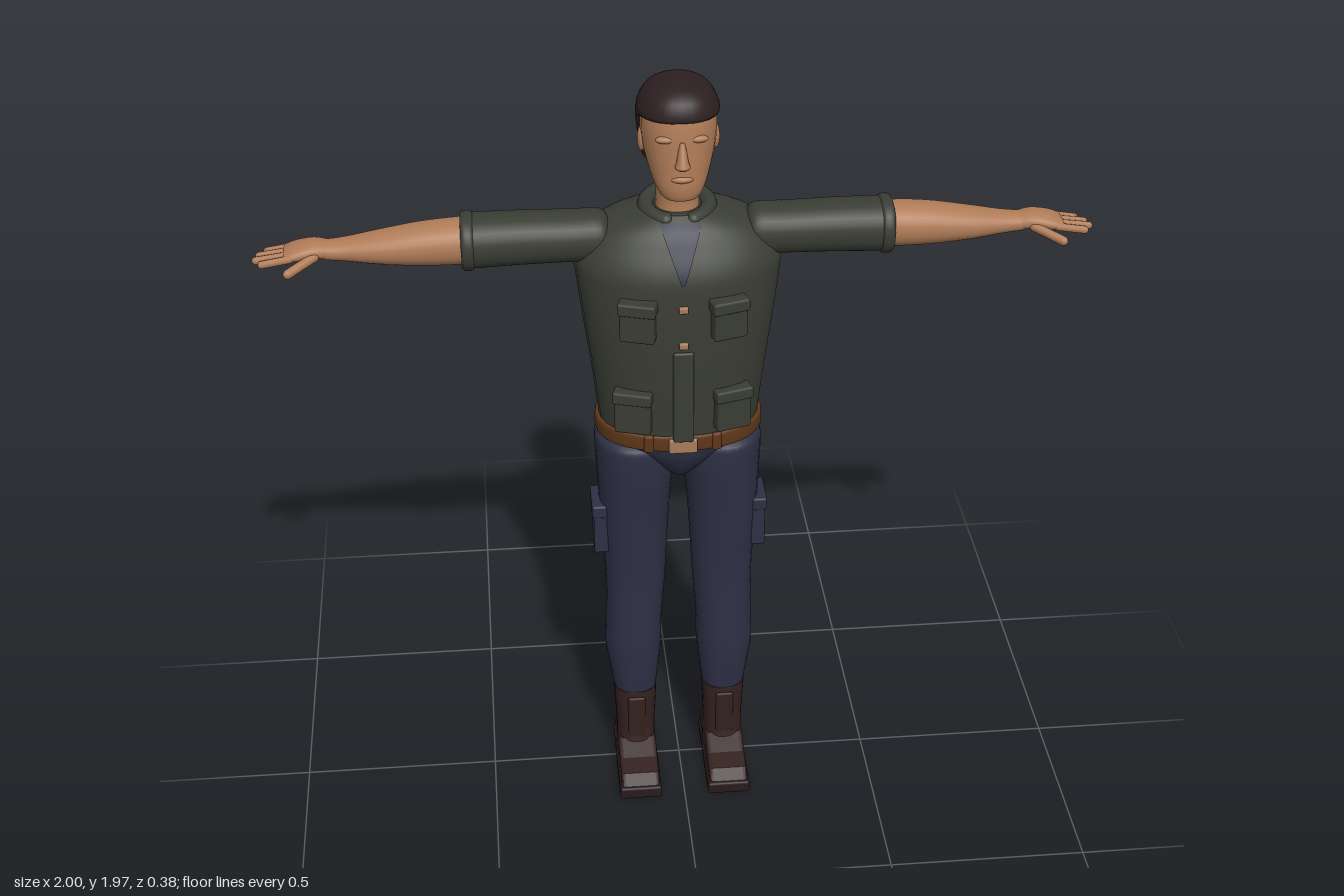
import * as THREE from 'three';
import { RoundedBoxGeometry } from 'three/addons/geometries/RoundedBoxGeometry.js';

const mat = (name, color, side = THREE.FrontSide) => {
  const m = new THREE.MeshStandardMaterial({ color, side });
  m.name = name;
  return m;
};

// Smoothly interpolates sections [position, centre, half width, back z, front z].
function smoothRows(sections, steps) {
  const rows = [], n = sections.length - 1;
  for (let i = 0; i < n; i++) {
    const [a, b, c, d] = [i - 1, i, i + 1, i + 2].map(k => sections[Math.min(n, Math.max(0, k))]);
    for (let j = 0; j < steps + (i === n - 1 ? 1 : 0); j++) {
      const t = j / steps;
      rows.push(b.map((v, k) => 0.5 * (2 * v + (c[k] - a[k]) * t +
        (2 * a[k] - 5 * v + 4 * c[k] - d[k]) * t * t + (3 * v - a[k] - 3 * c[k] + d[k]) * t * t * t)));
    }
  }
  return rows;
}

// Skins super-elliptical sections, upright or along x, with flat capped ends.
function loft(sections, { power = 2.2, alongX = false, steps = 4, seg = 28 } = {}) {
  const rows = smoothRows(sections, steps), pos = [], idx = [];
  const ascending = rows[rows.length - 1][0] > rows[0][0];
  const flip = ascending === alongX;
  const tri = (a, b, c) => (flip ? idx.push(a, c, b) : idx.push(a, b, c));
  const put = (p, x, z) => (alongX ? pos.push(p, x, z) : pos.push(x, p, z));
  const ring = ([p, cx, r, zb, zf]) => {
    const start = pos.length / 3;
    for (let j = 0; j < seg; j++) {
      const a = j / seg * Math.PI * 2, s = Math.sin(a), c = Math.cos(a);
      const e = v => Math.sign(v) * Math.pow(Math.abs(v), 2 / power);
      put(p, cx + r * e(s), (zb + zf) / 2 + (zf - zb) / 2 * e(c));
    }
    return start;
  };
  const starts = rows.map(ring);
  for (let i = 0; i + 1 < starts.length; i++) for (let j = 0; j < seg; j++) {
    const k = (j + 1) % seg, a = starts[i], b = starts[i + 1];
    tri(a + j, a + k, b + k);
    tri(a + j, b + k, b + j);
  }
  [rows[0], rows[rows.length - 1]].forEach((row, end) => {
    const s = ring(row), c = pos.length / 3;
    put(row[0], row[1], (row[3] + row[4]) / 2);
    for (let j = 0; j < seg; j++) {
      const k = (j + 1) % seg;
      end ? tri(c, s + j, s + k) : tri(c, s + k, s + j);
    }
  });
  const g = new THREE.BufferGeometry();
  g.setAttribute('position', new THREE.Float32BufferAttribute(pos, 3));
  g.setIndex(idx);
  g.computeVertexNormals();
  return g;
}

// Reflects a geometry across x = 0, keeping faces outward.
function mirrored(geometry) {
  const g = geometry.clone();
  for (const key of ['position', 'normal']) {
    const a = g.attributes[key];
    for (let i = 0; i < a.count; i++) a.setX(i, -a.getX(i));
  }
  const n = g.attributes.position.count;
  const old = g.index ? Array.from(g.index.array) : Array.from({ length: n }, (_, i) => i);
  for (let i = 0; i < old.length; i += 3) [old[i + 1], old[i + 2]] = [old[i + 2], old[i + 1]];
  g.setIndex(old);
  return g;
}

const box = (w, h, d, x, y, z, turn = 0, r = 0.006) =>
  new RoundedBoxGeometry(w, h, d, 2, r).rotateY(turn).translate(x, y, z);
const ball = (rx, ry, rz, x, y, z) =>
  new THREE.SphereGeometry(1, 20, 14).scale(rx, ry, rz).translate(x, y, z);

// Capsule running between two points.
function limb(a, b, r) {
  const p = new THREE.Vector3(...a), q = new THREE.Vector3(...b), d = q.clone().sub(p);
  const turn = new THREE.Quaternion().setFromUnitVectors(new THREE.Vector3(0, 1, 0), d.clone().normalize());
  return new THREE.CapsuleGeometry(r, d.length() - 2 * r, 4, 10).applyQuaternion(turn)
    .translate(...p.add(q).multiplyScalar(0.5).toArray());
}

const TORSO = [[1.06, 0, 0.195, -0.165, 0.11], [1.2, 0, 0.21, -0.175, 0.12], [1.35, 0, 0.23, -0.186, 0.125],
  [1.47, 0, 0.245, -0.19, 0.12], [1.52, 0, 0.248, -0.19, 0.11], [1.57, 0, 0.225, -0.18, 0.085],
  [1.61, 0, 0.17, -0.155, 0.06], [1.638, 0, 0.085, -0.12, 0.03]];

// Depth of the chest surface at a point.
function chestZ(x, y) {
  const rows = smoothRows(TORSO, 8);
  const i = Math.max(1, rows.findIndex(r => r[0] >= y)), a = rows[i - 1], b = rows[i];
  const t = (y - a[0]) / (b[0] - a[0]), [, , w, zb, zf] = a.map((v, k) => v + (b[k] - v) * t);
  return (zb + zf) / 2 + (zf - zb) / 2 * Math.pow(1 - Math.pow(Math.abs(x) / w, 2.2), 1 / 2.2);
}

// Thin panel lying on the chest, with its own half width at the bottom and top.
function chestPanel(y0, y1, w0, w1, lift) {
  const g = new THREE.PlaneGeometry(2, 1, 8, 14), p = g.attributes.position;
  for (let i = 0; i < p.count; i++) {
    const t = p.getY(i) + 0.5, y = y0 + (y1 - y0) * t, x = p.getX(i) * (w0 + (w1 - w0) * t);
    p.setXYZ(i, x, y, chestZ(x, y) + lift);
  }
  g.computeVertexNormals();
  return g;
}

export function createModel() {
  const model = new THREE.Group();
  const vest = mat('olive cloth', 0x3a3d34), navy = mat('navy cloth', 0x2e2f44);
  const shirt = mat('navy undershirt', 0x2b2c40, THREE.DoubleSide), skin = mat('skin', 0xb07c58);
  const hair = mat('dark hair', 0x2d1f21), leather = mat('boot leather', 0x33211f);
  const sole = mat('boot sole', 0x281a1c), belt = mat('belt leather', 0x5e3719), brass = mat('brass', 0xa87c5c);

  const add = (name, geometry, material) => {
    const m = new THREE.Mesh(geometry, material);
    m.name = name;
    model.add(m);
  };
  const pair = (name, geometry, material) => {
    add('left ' + name, geometry, material);
    add('right ' + name, mirrored(geometry), material);
  };

  // Torso, shirt opening and front placket
  add('torso', loft(TORSO), vest);
  add('shirt opening', chestPanel(1.5, 1.628, 0.004, 0.05, 0.004), shirt);
  add('placket', box(0.05, 0.25, 0.016, 0, 1.2, 0.122), vest);
  for (const y of [1.345, 1.44]) add('button', box(0.022, 0.016, 0.012, 0, y, chestZ(0, y) + 0.004, 0, 0.003), brass);

  // Collar, open at the throat
  const gap = 0.45, fit = g => g.rotateX(Math.PI / 2 + 0.12).translate(0, 1.632, -0.045);
  add('collar', fit(new THREE.TorusGeometry(0.075, 0.02, 12, 32, Math.PI * 2 - 2 * gap).rotateZ(Math.PI / 2 + gap)), vest);
  pair('collar end', fit(ball(0.02, 0.02, 0.02, 0.075 * Math.sin(gap), 0.075 * Math.cos(gap), 0)), vest);

  // Vest pockets with flaps
  for (const [name, x, y, w, h] of [['chest pocket', 0.108, 1.41, 0.084, 0.1], ['lower pocket', 0.12, 1.155, 0.088, 0.11]]) {
    const z = chestZ(x, y) + 0.008, turn = 0.3;
    pair(name, box(w, h, 0.034, x, y, z, turn), vest);
    pair(name + ' flap', box(w + 0.008, 0.032, 0.044, x, y + h / 2 - 0.013, z, turn), vest);
  }

  // Belt, buckle and belt pieces
  add('belt', loft([[1.042, 0, 0.203, -0.17, 0.114], [1.048, 0, 0.207, -0.173, 0.118],
    [1.078, 0, 0.207, -0.173, 0.118], [1.084, 0, 0.203, -0.17, 0.114]]), belt);
  add('buckle', box(0.07, 0.04, 0.014, 0, 1.06, 0.118), brass);
  pair('belt keeper', box(0.024, 0.048, 0.014, 0.083, 1.062, 0.105, 0.25), belt);

  // Neck, head and face
  add('neck', loft([[1.6, 0, 0.055, -0.105, 0.015], [1.67, 0, 0.051, -0.1, 0.008], [1.77, 0, 0.055, -0.1, 0.03]]), skin);
  add('head', loft([[1.698, 0, 0.03, 0.02, 0.075], [1.705, 0, 0.045, 0.0, 0.086], [1.73, 0, 0.06, -0.04, 0.092],
    [1.765, 0, 0.073, -0.085, 0.091], [1.81, 0, 0.084, -0.11, 0.089], [1.86, 0, 0.089, -0.12, 0.086],
    [1.91, 0, 0.084, -0.115, 0.076], [1.945, 0, 0.055, -0.08, 0.05]]), skin);
  add('nose', loft([[1.783, 0, 0.011, 0.07, 0.098], [1.793, 0, 0.018, 0.07, 0.115], [1.805, 0, 0.014, 0.07, 0.113],
    [1.85, 0, 0.007, 0.06, 0.09]], { seg: 14 }), skin);
  add('lips', ball(0.026, 0.009, 0.012, 0, 1.758, 0.085), skin);
  pair('brow', ball(0.024, 0.009, 0.012, 0.037, 1.853, 0.074), skin);
  pair('ear', ball(0.01, 0.03, 0.018, 0.086, 1.82, -0.012), skin);

  // Hair cap, low at the back and high over the forehead
  add('hair', loft([[1.755, 0, 0.078, -0.125, -0.01], [1.765, 0, 0.083, -0.132, -0.008], [1.82, 0, 0.092, -0.136, -0.006],
    [1.865, 0, 0.096, -0.138, 0.012], [1.89, 0, 0.096, -0.138, 0.076], [1.905, 0, 0.094, -0.136, 0.085],
    [1.935, 0, 0.078, -0.118, 0.073], [1.955, 0, 0.05, -0.085, 0.045], [1.965, 0, 0.012, -0.035, 0.005]], { power: 2.3 }), hair);

  // Arms: sleeve, rolled cuff, forearm, palm, fingers and thumb
  const along = { alongX: true };
  pair('sleeve', loft([[0.165, 1.565, 0.045, -0.085, 0.015], [0.185, 1.567, 0.06, -0.1, 0.028],
    [0.25, 1.567, 0.06, -0.102, 0.03], [0.38, 1.567, 0.062, -0.104, 0.032], [0.5, 1.565, 0.064, -0.105, 0.035]], along), vest);
  pair('cuff', loft([[0.482, 1.565, 0.063, -0.104, 0.033], [0.488, 1.565, 0.068, -0.109, 0.039],
    [0.505, 1.565, 0.068, -0.109, 0.039], [0.512, 1.565, 0.062, -0.104, 0.033]], along), vest);
  pair('forearm', loft([[0.5, 1.565, 0.055, -0.097, 0.022], [0.6, 1.562, 0.05, -0.095, 0.021],
    [0.7, 1.558, 0.038, -0.087, 0.014], [0.78, 1.556, 0.026, -0.075, 0.001], [0.83, 1.556, 0.021, -0.07, -0.004]], along), skin);
  pair('palm', loft([[0.82, 1.557, 0.02, -0.068, -0.005], [0.855, 1.562, 0.021, -0.074, 0.004],
    [0.9, 1.558, 0.017, -0.076, 0.012], [0.925, 1.553, 0.011, -0.071, 0.009]], along), skin);
  [[0.975, -0.066], [0.993, -0.043], [1, -0.019], [0.985, 0.004]].forEach(([tip, z], i) =>
    pair('finger ' + (i + 1), limb([0.9, 1.556, z * 0.94], [tip, 1.542, z], 0.0095), skin));
  pair('thumb', limb([0.845, 1.556, -0.01], [0.922, 1.537, 0.056], 0.0115), skin);

  // Hips and trouser legs
  add('hips', loft([[0.925, 0, 0.03, -0.09, 0.04], [0.945, 0, 0.055, -0.12, 0.06], [0.99, 0, 0.12, -0.155, 0.085],
    [1.03, 0, 0.18, -0.163, 0.095], [1.06, 0, 0.193, -0.163, 0.1]]), navy);
  pair('trouser leg', loft([[0.24, 0.117, 0.055, -0.065, 0.05], [0.3, 0.118, 0.063, -0.076, 0.055],
    [0.38, 0.12, 0.073, -0.092, 0.06], [0.46, 0.118, 0.073, -0.094, 0.06], [0.6, 0.112, 0.077, -0.092, 0.058],
    [0.8, 0.112, 0.088, -0.12, 0.07], [0.93, 0.109, 0.097, -0.15, 0.08], [0.99, 0.111, 0.098, -0.165, 0.083],
    [1.02, 0.113, 0.092, -0.155, 0.078], [1.036, 0.115, 0.07, -0.12, 0.05]]), navy);
  pair('thigh pocket', box(0.036, 0.14, 0.1, 0.2, 0.762, -0.02), navy);
  pair('thigh pocket flap', box(0.046, 0.035, 0.106, 0.199, 0.817, -0.02), navy);

  // Boots: shaft, tongue, foot, welt, heel and sole
  pair('boot shaft', loft([[0.03, 0.117, 0.052, -0.088, 0.07], [0.07, 0.117, 0.051, -0.085, 0.07],
    [0.13, 0.117, 0.051, -0.074, 0.056], [0.24, 0.117, 0.056, -0.066, 0.055], [0.25, 0.117, 0.055, -0.064, 0.053]],
  { power: 2.6 }), leather);
  pair('boot tongue', box(0.046, 0.15, 0.012, 0.117, 0.16, 0.053), leather);
  const foot = new THREE.Shape([[-0.075, 0.03], [-0.07, 0.07], [0.05, 0.088], [0.1, 0.062], [0.15, 0.052], [0.172, 0.03]]
    .map(p => new THREE.Vector2(...p)));
  pair('boot foot', new THREE.ExtrudeGeometry(foot, { depth: 0.08, bevelSize: 0.01, bevelThickness: 0.01, bevelSegments: 3 })
    .rotateY(-Math.PI / 2).translate(0.157, 0, 0), leather);
  pair('welt', box(0.11, 0.02, 0.276, 0.117, 0.024, 0.049), sole);
  pair('heel', box(0.108, 0.024, 0.085, 0.117, 0.012, -0.046), sole);
  pair('front sole', box(0.11, 0.024, 0.16, 0.117, 0.012, 0.107), sole);

  return model;
}
